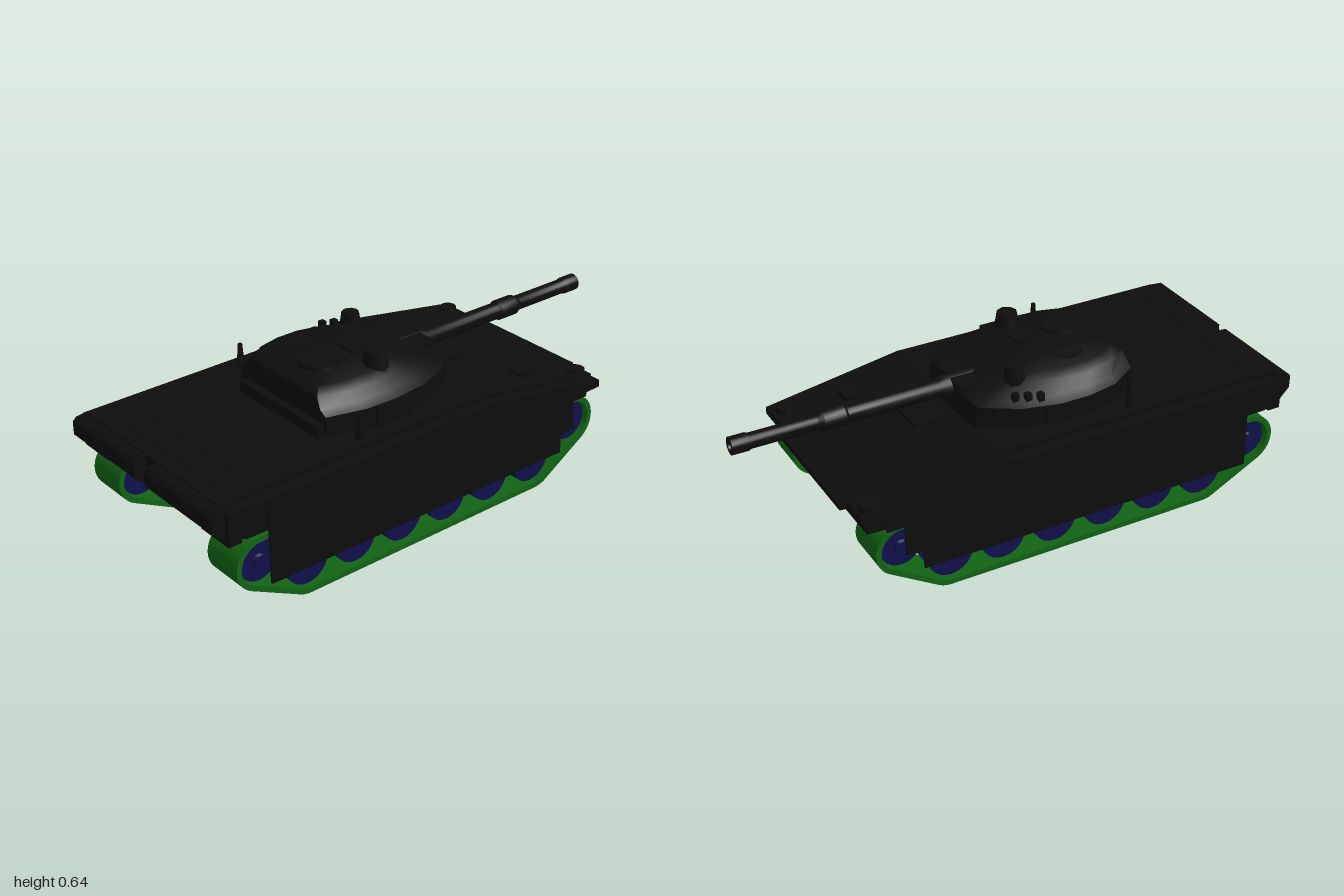
import * as THREE from 'three';
import { toCreasedNormals } from 'three/addons/utils/BufferGeometryUtils.js';

const mat = (name, color) => {
  const m = new THREE.MeshStandardMaterial({ color });
  m.name = name;
  return m;
};

export function createModel() {
  const model = new THREE.Group();
  model.name = 'tank';
  const black = mat('bodyBlack', 0x0d0d0d);
  const green = mat('trackGreen', 0x116314);
  const navy = mat('wheelNavy', 0x10104c);

  const add = (name, geo, material, x = 0, y = 0, z = 0, parent = model) => {
    const mesh = new THREE.Mesh(geo, material);
    mesh.name = name;
    mesh.position.set(x, y, z);
    parent.add(mesh);
    return mesh;
  };
  const box = (name, w, h, d, x, y, z) => add(name, new THREE.BoxGeometry(w, h, d), black, x, y, z);
  const drum = (name, rTop, rBottom, h, x, y, z, sides = 20) =>
    add(name, new THREE.CylinderGeometry(rTop, rBottom, h, sides), black, x, y, z);

  // Extrudes a [z, y] outline across x, from x0 to x1
  const slab = (outline, x0, x1, hole) => {
    const toV = (p) => p.map(([z, y]) => new THREE.Vector2(z, y));
    const shape = new THREE.Shape(toV(outline));
    if (hole) shape.holes.push(new THREE.Path(toV(hole)));
    const geo = new THREE.ExtrudeGeometry(shape, { depth: x1 - x0, bevelEnabled: false });
    return geo.rotateY(-Math.PI / 2).translate(x1, 0, 0);
  };

  // Hull: centre body, nose and lower fenders
  add('hull', slab([[0.95, 0.35], [0.95, 0.443], [-0.18, 0.443], [-0.71, 0.35], [-0.71, 0.325],
    [-0.6, 0.32], [0.88, 0.32]], -0.385, 0.385), black);
  add('nosePlate', slab([[-0.7, 0.32], [-0.7, 0.352], [-0.735, 0.343], [-0.735, 0.322]], -0.27, 0.27), black);

  // Muzzle-end details on the sloped deck
  box('driverHatch', 0.16, 0.015, 0.12, 0, 0.428, -0.3);
  box('deckBlock', 0.07, 0.02, 0.05, 0.28, 0.4, -0.45);

  for (const s of [-1, 1]) {
    const side = s > 0 ? 'left' : 'right';
    const span = (a, b) => (s > 0 ? [a, b] : [-b, -a]);

    // Fender over the track
    add(side + 'Fender', slab([[0.95, 0.345], [0.95, 0.428], [-0.18, 0.43], [-0.71, 0.342], [-0.71, 0.315],
      [-0.6, 0.31], [0.88, 0.315]], ...span(0.26, 0.428)), black);

    // Side skirt, leaning outwards towards its lower edge
    const skirt = slab([[0.8, 0.115], [0.8, 0.425], [-0.18, 0.425], [-0.64, 0.35], [-0.64, 0.3], [-0.575, 0.3],
      [-0.575, 0.19], [-0.51, 0.19], [-0.51, 0.115]], ...span(0.425, 0.432));
    const p = skirt.attributes.position;
    for (let i = 0; i < p.count; i++) {
      if (p.getY(i) < 0.2) p.setX(i, p.getX(i) + s * 0.008);
    }
    skirt.computeVertexNormals();
    add(side + 'Skirt', skirt, black);

    // Rear bumper halves, leaving a notch in the middle
    add(side + 'RearBumper', slab([[0.94, 0.335], [0.965, 0.335], [1, 0.37], [1, 0.42], [0.985, 0.434], [0.94, 0.438]],
      ...span(0.03, 0.41)), black);
    box(side + 'RearMudguard', 0.15, 0.05, 0.05, s * 0.35, 0.332, 0.925);
    box(side + 'DeckRail', 0.012, 0.012, 0.98, s * 0.375, 0.442, 0.35);

    // Tapered posts, towing spikes and headlamps
    drum(side + 'Post', 0.008, 0.016, 0.1, s * 0.335, 0.487, 0.35, 8);
    drum(side + 'TowSpike', 0.022, 0.006, 0.07, s * 0.2, 0.29, -0.64, 8);
    drum(side + 'Headlamp', 0.032, 0.036, 0.025, s * 0.35, 0.362, -0.665, 12);
  }
  box('rearDeckGrille', 0.64, 0.008, 0.05, 0, 0.443, 0.87);
  box('engineCover', 0.5, 0.008, 0.28, 0, 0.443, 0.66);

  // Turret: rings of one outline, narrowed and shortened as they rise
  const outline = [[0.1, -0.2], [0.19, -0.17], [0.25, -0.1], [0.29, 0.02], [0.305, 0.15], [0.3, 0.28], [0.26, 0.43],
    [-0.22, 0.43], [-0.29, 0.32], [-0.315, 0.2], [-0.315, 0.08], [-0.28, -0.06], [-0.2, -0.19], [-0.1, -0.2]];
  const rings = [[0.43, 1, -0.2, 0.43], [0.515, 0.99, -0.185, 0.43], [0.532, 0.88, -0.14, 0.43],
    [0.565, 0.77, -0.04, 0.42], [0.585, 0.65, 0, 0.39], [0.595, 0.3, 0.09, 0.34]];
  const n = outline.length;
  const verts = [];
  const faces = [];
  rings.forEach(([y, sx, zFront, zBack], r) => outline.forEach(([x, z], i) => {
    verts.push(x * sx, y, zFront + ((z + 0.2) / 0.63) * (zBack - zFront));
    if (r === 0) return;
    const j = (i + 1) % n;
    const a = (r - 1) * n + i, b = (r - 1) * n + j, c = r * n + i, d = r * n + j;
    faces.push(a, c, b, b, c, d);
  }));
  const top = (rings.length - 1) * n;
  verts.push(0, 0.597, 0.2);
  for (let i = 0; i < n; i++) faces.push(rings.length * n, top + ((i + 1) % n), top + i);
  const turret = new THREE.BufferGeometry();
  turret.setAttribute('position', new THREE.Float32BufferAttribute(verts, 3));
  turret.setIndex(faces);
  add('turret', toCreasedNormals(turret, 0.5), black);

  // Turret fittings
  box('turretBustle', 0.44, 0.05, 0.05, 0.03, 0.46, 0.435);
  drum('commanderCupola', 0.07, 0.078, 0.04, 0.045, 0.585, 0.29);
  drum('loaderHatch', 0.06, 0.065, 0.03, -0.11, 0.577, 0.22);
  drum('tallSight', 0.038, 0.05, 0.075, 0.165, 0.598, 0.14, 8);
  drum('forwardSight', 0.032, 0.042, 0.075, -0.155, 0.582, -0.01, 8);
  box('middlePeriscope', 0.08, 0.035, 0.08, 0.04, 0.588, 0.13);
  box('rightStowage', 0.035, 0.08, 0.14, -0.295, 0.475, 0.1);
  box('leftStowage', 0.035, 0.08, 0.14, 0.3, 0.475, 0.18);
  for (let i = 0; i < 3; i++) {
    box('rightLauncher', 0.022, 0.05, 0.022, -0.268 + i * 0.018, 0.528, 0.03 - i * 0.04);
  }

  // Gun: stepped tube with a thicker middle sleeve and open muzzle
  const gunProfile = [[0, 0.05], [0.045, 0.05], [0.045, 0.2], [0.033, 0.23], [0.032, 0.58], [0.038, 0.59], [0.038, 0.67],
    [0.028, 0.69], [0.028, 0.93], [0.032, 0.94], [0.032, 1], [0.018, 1], [0.018, 0.95], [0, 0.95]];
  const gun = new THREE.LatheGeometry(gunProfile.map(([r, l]) => new THREE.Vector2(r, l)), 20);
  add('gun', toCreasedNormals(gun.rotateX(-Math.PI / 2), 0.5), black, 0, 0.505, 0);
  box('gunMantlet', 0.2, 0.1, 0.12, 0, 0.495, -0.13);

  // Running gear: each track wraps the circles [z, y, radius]
  const circles = [[0.825, 0.2, 0.1], [0.63, 0.11, 0.11], [-0.4, 0.11, 0.11], [-0.58, 0.21, 0.1]];
  const wrap = (inset) => Array.from({ length: 72 }, (_, i) => {
    const t = ((i + 0.5) / 72) * Math.PI * 2, c = Math.cos(t), s = Math.sin(t);
    const reach = (k) => k[0] * c + k[1] * s + k[2];
    const best = circles.reduce((m, k) => (reach(k) > reach(m) ? k : m));
    return [best[0] + (best[2] - inset) * c, best[1] + (best[2] - inset) * s];
  });
  const trackGeo = toCreasedNormals(slab(wrap(0), -0.08, 0.08, wrap(0.02)), 0.5);

  // Paired discs with a groove and a raised hub
  const wheelGeo = (r) => {
    const half = [[0, 0.07], [0.28 * r, 0.07], [0.34 * r, 0.06], [r, 0.06], [r, 0.014], [0.6 * r, 0.014]];
    const profile = [...half, ...half.map(([a, h]) => [a, -h]).reverse()].reverse();
    const geo = new THREE.LatheGeometry(profile.map(([a, h]) => new THREE.Vector2(a, h)), 24);
    return toCreasedNormals(geo.rotateZ(-Math.PI / 2), 0.5);
  };
  const roadWheel = wheelGeo(0.084);
  const endWheel = wheelGeo(0.076);
  for (const s of [-1, 1]) {
    const gear = new THREE.Group();
    gear.name = s > 0 ? 'leftRunningGear' : 'rightRunningGear';
    gear.position.x = s * 0.345;
    model.add(gear);
    add('track', trackGeo, green, 0, 0, 0, gear);
    for (let i = 0; i < 6; i++) add('roadWheel', roadWheel, navy, 0, 0.11, 0.63 - i * 0.205, gear);
    add('rearWheel', endWheel, navy, 0, 0.2, 0.825, gear);
    add('frontWheel', endWheel, navy, 0, 0.21, -0.58, gear);
  }
  return model;
}
